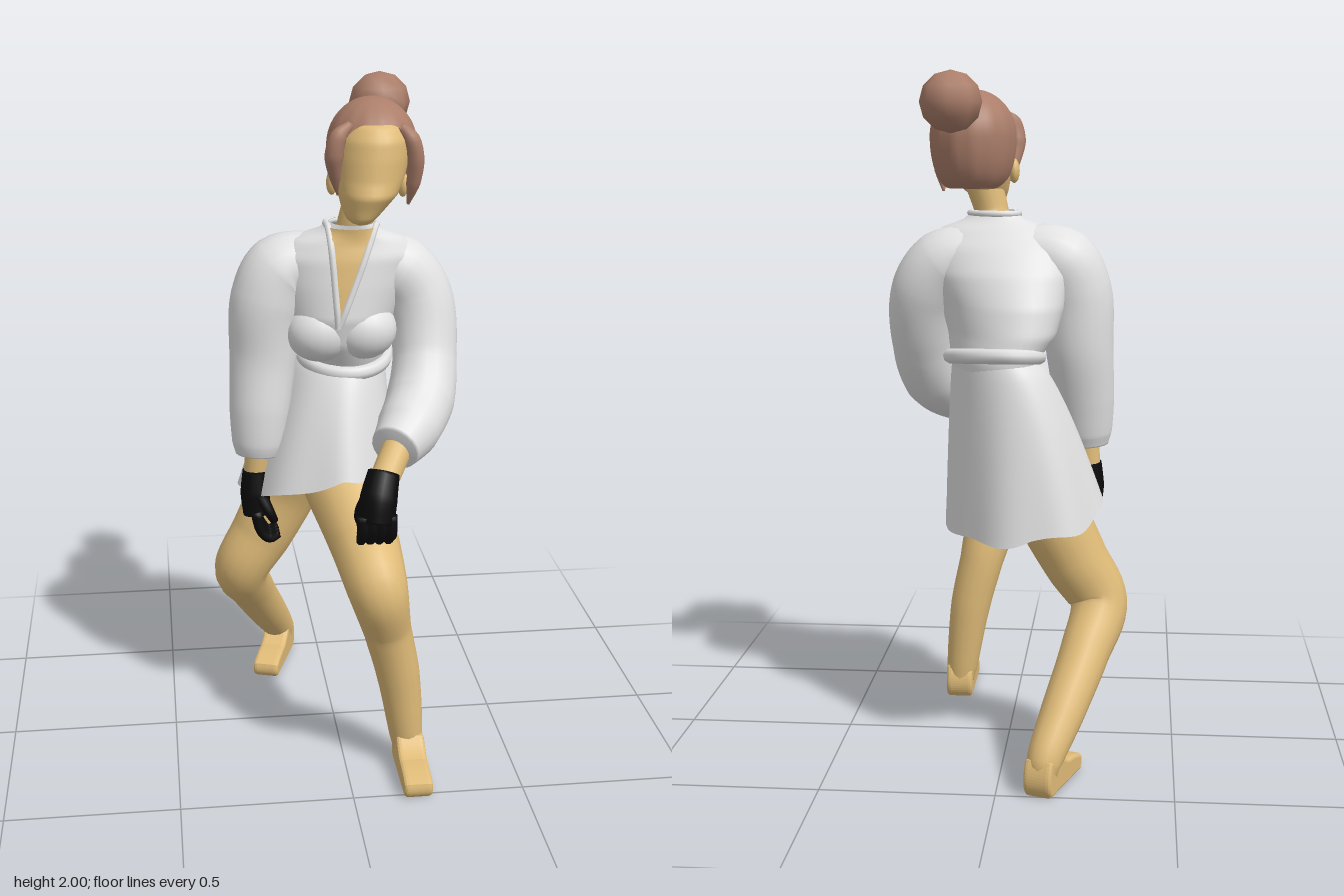
import * as THREE from 'three';

const V = (p) => new THREE.Vector3(p[0], p[1], p[2]);
const mix = THREE.MathUtils.lerp;
const paint = (name, color) => {
  const m = new THREE.MeshStandardMaterial({ color, side: THREE.DoubleSide });
  m.name = name;
  return m;
};

// Smooth grid surface from fn(u, v) -> [x, y, z]; u may wrap round
function surface(fn, nu, nv, closed = true) {
  const pos = [], idx = [], cols = closed ? nu : nu + 1;
  for (let j = 0; j <= nv; j++) for (let i = 0; i < cols; i++) pos.push(...fn(i / nu, j / nv));
  for (let j = 0; j < nv; j++) for (let i = 0; i < nu; i++) {
    const k = (i + 1) % cols, a = j * cols + i, b = j * cols + k, c = a + cols, d = b + cols;
    idx.push(a, b, c, b, d, c);
  }
  const g = new THREE.BufferGeometry();
  g.setAttribute('position', new THREE.Float32BufferAttribute(pos, 3));
  g.setIndex(idx);
  g.computeVertexNormals();
  return g;
}

// Rounded limb through [x, y, z, radius] points, closed at both ends
function limb(pts, sides = 16, steps = 8) {
  const curve = new THREE.CatmullRomCurve3(pts.map(V), false, 'centripetal');
  const n = (pts.length - 1) * steps, rings = [];
  let side = new THREE.Vector3(0.3, 0, 1);
  for (let j = 0; j <= n; j++) {
    const t = j / n, p = curve.getPoint(t), d = curve.getTangent(t);
    side = side.clone().addScaledVector(d, -side.dot(d)).normalize();
    const f = t * (pts.length - 1), i = Math.min(Math.floor(f), pts.length - 2);
    rings.push({ p, side, up: d.clone().cross(side), r: mix(pts[i][3], pts[i + 1][3], f - i) });
  }
  const caps = [{ ...rings[0], r: 0 }, ...rings, { ...rings[n], r: 0 }];
  return surface((u, v) => {
    const q = caps[Math.round(v * (n + 2))], a = u * Math.PI * 2;
    return q.p.clone().addScaledVector(q.side, q.r * Math.cos(a)).addScaledVector(q.up, q.r * Math.sin(a)).toArray();
  }, sides, n + 2);
}

// Interpolated table row; the first column is height
function rowAt(rows, y) {
  let i = 0;
  while (i < rows.length - 2 && y > rows[i + 1][0]) i++;
  const t = THREE.MathUtils.clamp((y - rows[i][0]) / (rows[i + 1][0] - rows[i][0]), 0, 1);
  return rows[i].map((a, k) => mix(a, rows[i + 1][k], t));
}

// Torso cross-sections: y, centre x, centre z, radius x, radius z; the back is twisted to the right
const TORSO = [
  [1.13, 0.04, -0.1, 0.115, 0.155], [1.18, 0.04, -0.09, 0.125, 0.17], [1.25, 0.02, -0.065, 0.155, 0.185],
  [1.33, 0.02, -0.045, 0.178, 0.182], [1.42, 0.03, -0.028, 0.205, 0.155], [1.5, 0.038, -0.005, 0.215, 0.12],
  [1.55, 0.04, 0.01, 0.165, 0.09], [1.575, 0.047, 0.025, 0.09, 0.075], [1.6, 0.05, 0.038, 0.062, 0.066],
];
const TWIST = 0.3;
function torsoPoint(a, y, out = 0) {
  const [, cx, cz, rx, rz] = rowAt(TORSO, y), dz = (rz + out) * Math.cos(a);
  return [cx + (rx + out) * Math.sin(a) + TWIST * Math.min(0, dz), y, cz + dz];
}
const angleAtX = (x, y) => {
  const r = rowAt(TORSO, y);
  return Math.asin(THREE.MathUtils.clamp((x - r[1]) / r[3], -1, 1));
};

// Head cross-sections: y, centre x, radius x, front z, back z
const HEAD = [
  [1.605, 0.062, 0.012, 0.15, 0.1], [1.625, 0.065, 0.042, 0.175, 0.05], [1.655, 0.075, 0.064, 0.184, 0.0],
  [1.69, 0.088, 0.084, 0.198, -0.04], [1.73, 0.096, 0.098, 0.184, -0.07], [1.79, 0.104, 0.107, 0.176, -0.1],
  [1.84, 0.11, 0.106, 0.166, -0.1], [1.88, 0.112, 0.09, 0.138, -0.07], [1.91, 0.112, 0.05, 0.08, -0.03],
];

// Foot from its side profile, with a rounded heel
function foot(x, z, turn) {
  const s = new THREE.Shape();
  s.moveTo(-0.03, 0.01);
  s.lineTo(0.19, 0.01);
  s.quadraticCurveTo(0.2, 0.02, 0.195, 0.038);
  s.quadraticCurveTo(0.15, 0.055, 0.1, 0.058);
  s.quadraticCurveTo(0.06, 0.07, 0.035, 0.1);
  s.lineTo(-0.03, 0.095);
  s.quadraticCurveTo(-0.055, 0.04, -0.03, 0.01);
  const g = new THREE.ExtrudeGeometry(s, { depth: 0.056, bevelSize: 0.01, bevelThickness: 0.014, bevelSegments: 3 });
  g.translate(0, 0, -0.028).rotateY(-Math.PI / 2).rotateY(turn).translate(x, 0, z);
  return g;
}

export function createModel() {
  const skin = paint('skin', 0xdfbb78), robe = paint('robe cloth', 0xe2e2e2);
  const hair = paint('hair', 0xab7e6a), black = paint('glove black', 0x0a0a0a);
  const model = new THREE.Group();
  const add = (name, geo, mat) => {
    const m = new THREE.Mesh(geo, mat);
    m.name = name;
    model.add(m);
    return m;
  };
  const ball = (name, mat, p, s, w = 20, h = 14) => {
    const m = add(name, new THREE.SphereGeometry(1, w, h), mat);
    m.position.set(...p);
    m.scale.set(...s);
    return m;
  };

  // Legs and feet
  add('leftLeg', limb([[-0.015, 0.9, 0, 0.12], [0.025, 0.8, 0.12, 0.115], [0.06, 0.7, 0.255, 0.102],
    [0.083, 0.605, 0.37, 0.088], [0.12, 0.45, 0.336, 0.07], [0.155, 0.3, 0.32, 0.064],
    [0.182, 0.1, 0.315, 0.05], [0.187, 0.05, 0.312, 0.042]]), skin);
  add('leftFoot', foot(0.188, 0.32, 0), skin);
  add('rightLeg', limb([[-0.08, 0.88, -0.1, 0.12], [-0.135, 0.73, -0.138, 0.108], [-0.205, 0.59, -0.138, 0.098],
    [-0.275, 0.465, -0.14, 0.086], [-0.238, 0.34, -0.25, 0.072], [-0.18, 0.2, -0.375, 0.063],
    [-0.135, 0.09, -0.462, 0.05], [-0.132, 0.055, -0.465, 0.042]]), skin);
  add('rightFoot', foot(-0.132, -0.465, -0.32), skin);

  // Robe skirt: flares from the waist, with a hem lifted at the front
  add('skirt', surface((u, v) => {
    const a = u * Math.PI * 2, s = Math.sin(a), c = Math.cos(a);
    const hem = 0.765 + 0.1 * c * (c > 0 ? 1.1 : 0.75) - 0.065 * Math.max(0, s)
      - 0.08 * Math.max(0, -s) * Math.max(0, c) + 0.008 * Math.sin(a * 6);
    const flare = Math.pow(v, 0.72), fold = 1 + 0.025 * v * Math.sin(a * 7 + 1);
    const dz = c * mix(0.165, 0.278, flare) * fold;
    return [mix(0.04, -0.043, flare) + s * mix(0.12, 0.232, flare) * fold
      + 0.16 * v * dz + TWIST * (1 - v) * Math.min(0, dz),
      mix(1.18, hem, v), mix(-0.09, -0.06, flare) + dz];
  }, 64, 20), robe);

  // Robe bodice, bust and belt
  add('bodice', surface((u, v) => torsoPoint(u * Math.PI * 2, 1.13 + 0.47 * v), 40, 40), robe);
  ball('rightBust', robe, [-0.045, 1.28, 0.048], [0.1, 0.088, 0.09]);
  ball('leftBust', robe, [0.08, 1.285, 0.052], [0.1, 0.088, 0.09]);
  const belt = [];
  for (let i = 0; i < 16; i++) {
    const a = (i / 16) * Math.PI * 2;
    const [x, , z] = torsoPoint(a, 1.18, 0.002);
    belt.push(new THREE.Vector3(x, 1.182 - 0.024 * Math.cos(a), z));
  }
  add('belt', new THREE.TubeGeometry(new THREE.CatmullRomCurve3(belt, true), 48, 0.022, 8, true), robe);

  // Open neckline with lapels running round the back of the neck
  const edge = (side, t) => angleAtX(side > 0 ? 0.11 * t : -0.02 * t, 1.31 + 0.28 * t);
  add('chest', surface((u, v) => torsoPoint(mix(edge(-1, v), edge(1, v), u), 1.31 + 0.28 * v, 0.006),
    10, 20, false), skin);
  const lapel = [];
  for (let i = 0; i <= 6; i++) lapel.push(V(torsoPoint(edge(-1, i / 6), 1.31 + 0.28 * i / 6, 0.002)));
  const a0 = edge(-1, 1), a1 = edge(1, 1) - Math.PI * 2;
  for (let i = 1; i < 8; i++) lapel.push(V(torsoPoint(a0 + (a1 - a0) * i / 8, 1.592, 0)));
  for (let i = 6; i >= 0; i--) lapel.push(V(torsoPoint(edge(1, i / 6), 1.31 + 0.28 * i / 6, 0.002)));
  add('lapels', new THREE.TubeGeometry(new THREE.CatmullRomCurve3(lapel), 80, 0.01, 8), robe);

  // Full sleeves and bare wrists
  add('leftSleeve', limb([[0.07, 1.475, -0.01, 0.085], [0.19, 1.445, -0.01, 0.104], [0.252, 1.36, 0.0, 0.102],
    [0.264, 1.2, 0.055, 0.094], [0.24, 1.09, 0.13, 0.1], [0.19, 1.03, 0.22, 0.092],
    [0.14, 0.995, 0.29, 0.07]], 20), robe);
  add('rightSleeve', limb([[-0.02, 1.475, -0.015, 0.085], [-0.15, 1.45, -0.015, 0.108], [-0.195, 1.36, -0.008, 0.108],
    [-0.208, 1.2, -0.008, 0.1], [-0.222, 1.04, 0.015, 0.09], [-0.228, 0.94, 0.025, 0.078],
    [-0.23, 0.905, 0.027, 0.066]], 20), robe);
  add('leftWrist', limb([[0.155, 1.0, 0.27, 0.045], [0.1, 0.92, 0.35, 0.042]]), skin);
  add('rightWrist', limb([[-0.228, 0.95, 0.028, 0.038], [-0.238, 0.83, 0.022, 0.035]]), skin);

  // Gloved hands
  add('leftGlove', limb([[0.103, 0.945, 0.342, 0.046], [0.084, 0.88, 0.375, 0.054], [0.076, 0.815, 0.39, 0.052]]), black);
  add('rightGlove', limb([[-0.238, 0.85, 0.022, 0.038], [-0.24, 0.78, 0.028, 0.044], [-0.235, 0.715, 0.032, 0.042]]), black);
  for (let i = 0; i < 4; i++) {
    const x = 0.036 + i * 0.026, z = -0.006 + i * 0.024;
    add('leftFinger', limb([[x, 0.84, 0.405, 0.02], [x, 0.785, 0.405, 0.019], [x, 0.748, 0.36, 0.014]], 8, 4), black);
    add('rightFinger', limb([[-0.24, 0.73, z, 0.018], [-0.225, 0.67, z, 0.017], [-0.2, 0.645, z, 0.015],
      [-0.172, 0.658, z, 0.012]], 8, 4), black);
  }
  add('leftThumb', limb([[0.05, 0.87, 0.36, 0.02], [0.035, 0.82, 0.345, 0.018], [0.05, 0.77, 0.335, 0.012]], 8, 4), black);
  add('rightThumb', limb([[-0.225, 0.78, 0.06, 0.02], [-0.2, 0.73, 0.075, 0.016], [-0.185, 0.7, 0.07, 0.012]], 8, 4), black);

  // Neck, head and ears
  add('neck', limb([[0.045, 1.5, 0.01, 0.062], [0.055, 1.59, 0.042, 0.05], [0.088, 1.7, 0.045, 0.055]]), skin);
  add('head', surface((u, v) => {
    const a = u * Math.PI * 2, [y, cx, rx, f, b] = rowAt(HEAD, 1.605 + 0.305 * v);
    const end = v === 0 || v === 1 ? 0 : 1;
    return [cx + end * rx * Math.sin(a), y, (f + b) / 2 + end * (f - b) / 2 * Math.cos(a)];
  }, 32, 32), skin);
  ball('leftEar', skin, [0.194, 1.705, 0.045], [0.016, 0.036, 0.024], 10, 8);
  ball('rightEar', skin, [-0.01, 1.715, 0.045], [0.016, 0.036, 0.024], 10, 8);

  // Swept-back hair: hairline runs over the forehead, behind the ears and down to the nape
  add('hairCap', surface((u, v) => {
    const a = u * Math.PI * 2, fromFront = Math.acos(THREE.MathUtils.clamp(Math.cos(a), -1, 1));
    const t = v * THREE.MathUtils.degToRad(58 + 96 * THREE.MathUtils.smoothstep(fromFront, 0.3, 2.15));
    const low = t > Math.PI / 2;
    const r = (1 + 0.012 * Math.sin(a * 14) * Math.sin(t)) * Math.pow(Math.sin(t), low ? 0.55 : 1);
    return [0.108 + 0.127 * r * Math.sin(a), 1.815 + (low ? 0.165 : 0.135) * Math.cos(t), 0.013 + 0.152 * r * Math.cos(a)];
  }, 56, 24), hair);

  // Side locks and bun
  add('rightLock', limb([[0.035, 1.885, 0.11, 0.012], [0.0, 1.855, 0.125, 0.024], [-0.012, 1.8, 0.12, 0.027],
    [-0.006, 1.74, 0.1, 0.018], [0.004, 1.685, 0.08, 0.004]], 10, 6), hair);
  add('leftLock', limb([[0.175, 1.88, 0.11, 0.012], [0.205, 1.845, 0.125, 0.022], [0.218, 1.785, 0.118, 0.024],
    [0.214, 1.715, 0.1, 0.02], [0.204, 1.655, 0.08, 0.004]], 10, 6), hair);
  ball('bun', hair, [0.154, 1.912, -0.155], [0.09, 0.088, 0.09], 8, 6);
  return model;
}
